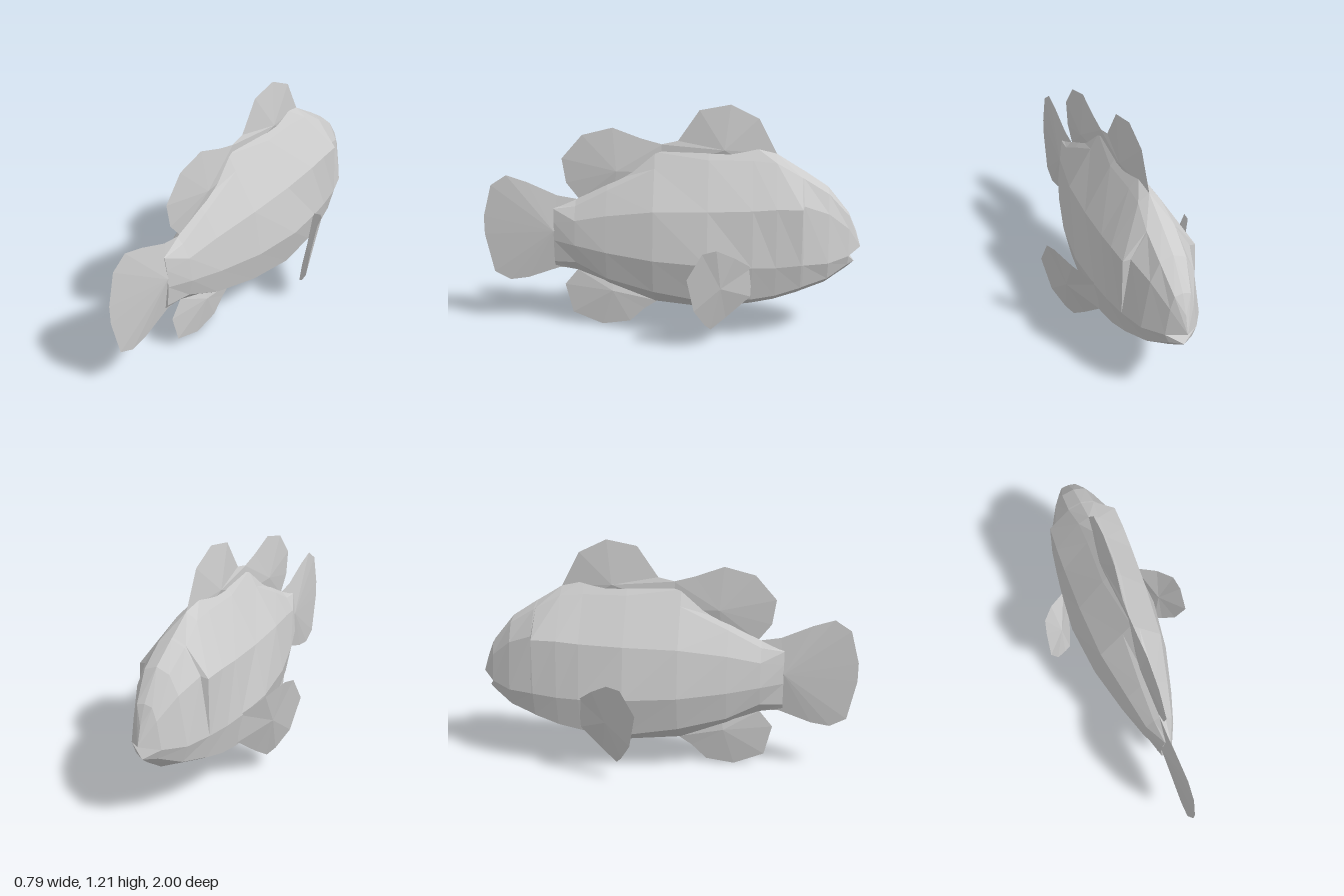
import * as THREE from 'three';
import { ConvexGeometry } from 'three/addons/geometries/ConvexGeometry.js';

const v = (x, y, z) => new THREE.Vector3(x, y, z);

// Unshared triangles give faceted normals
function facets(points) {
  const g = new THREE.BufferGeometry().setFromPoints(points);
  g.computeVertexNormals();
  return g;
}

// Half cross-section, crest to keel: [z, crest y, four side points (x, y), keel y]
const sections = [
  [0.62, 0.66, 0.015, 0.65, 0.025, 0.58, 0.03, 0.48, 0.02, 0.36, 0.33],
  [0.5, 0.70, 0.03, 0.67, 0.07, 0.60, 0.085, 0.47, 0.06, 0.37, 0.31],
  [0.33, 0.80, 0.04, 0.76, 0.11, 0.64, 0.14, 0.45, 0.11, 0.30, 0.235],
  [0.08, 0.96, 0.045, 0.88, 0.165, 0.68, 0.205, 0.43, 0.165, 0.25, 0.14],
  [-0.2, 1.0, 0.05, 0.93, 0.185, 0.69, 0.24, 0.42, 0.19, 0.21, 0.11],
  [-0.43, 1.0, 0.05, 0.93, 0.19, 0.70, 0.225, 0.41, 0.19, 0.23, 0.14],
  [-0.55, 0.96, 0.055, 0.92, 0.19, 0.71, 0.212, 0.41, 0.18, 0.25, 0.165],
  [-0.68, 0.88, 0.07, 0.85, 0.185, 0.71, 0.195, 0.42, 0.165, 0.29, 0.21],
  [-0.69, 0.875, 0.07, 0.845, 0.15, 0.72, 0.192, 0.42, 0.163, 0.295, 0.215],
  [-0.82, 0.79, 0.065, 0.765, 0.11, 0.67, 0.15, 0.42, 0.12, 0.33, 0.27],
  [-0.93, 0.655, 0.04, 0.645, 0.06, 0.58, 0.08, 0.44, 0.06, 0.39, 0.355],
];

function ring([z, crest, ...rest]) {
  const keel = rest.pop();
  const side = [];
  for (let i = 0; i < rest.length; i += 2) side.push(v(rest[i], rest[i + 1], z));
  const mirrored = side.map(p => v(-p.x, p.y, z)).reverse();
  return [v(0, crest, z), ...side, v(0, keel, z), ...mirrored];
}

function loft(rings) {
  const tris = [];
  const n = rings[0].length;
  for (let i = 0; i < rings.length - 1; i++) {
    for (let j = 0; j < n; j++) {
      const k = (j + 1) % n;
      const a = rings[i][j], b = rings[i][k], c = rings[i + 1][k], d = rings[i + 1][j];
      // Mirror the diagonal so both flanks match
      if (j < n / 2) tris.push(a, b, c, a, c, d);
      else tris.push(a, b, d, b, c, d);
    }
  }
  // Close the tail end
  for (let j = 1; j < n - 1; j++) tris.push(rings[0][0], rings[0][j + 1], rings[0][j]);
  return facets(tris);
}

// Lens-shaped fin: an outline joined to a raised centre on each face
function fin(outline, centre, bulge) {
  const hi = centre.clone().add(bulge), lo = centre.clone().sub(bulge);
  const tris = [];
  outline.forEach((p, i) => {
    const q = outline[(i + 1) % outline.length];
    tris.push(hi, p, q, lo, q, p);
  });
  return facets(tris);
}

// Fins on the centre plane: outline and centre as (z, y)
const medianFins = {
  frontDorsalFin: {
    outline: [[-0.55, 0.96], [-0.455, 1.14], [-0.31, 1.21], [-0.15, 1.18], [-0.04, 1.02],
      [0.05, 1.0], [0.08, 0.85], [-0.5, 0.85]],
    centre: [-0.28, 0.98], thick: 0.035,
  },
  rearDorsalFin: {
    outline: [[0.04, 1.0], [0.15, 1.03], [0.3, 1.085], [0.46, 1.045], [0.57, 0.92],
      [0.55, 0.79], [0.48, 0.70], [0.3, 0.68], [0.0, 0.85]],
    centre: [0.28, 0.86], thick: 0.025,
  },
  tailFin: {
    outline: [[0.48, 0.70], [0.6, 0.72], [0.76, 0.79], [0.87, 0.825], [0.955, 0.77], [1, 0.6],
      [1, 0.5], [0.955, 0.29], [0.87, 0.245], [0.77, 0.26], [0.6, 0.32], [0.5, 0.32]],
    centre: [0.62, 0.53], thick: 0.03,
  },
  analFin: {
    outline: [[0.07, 0.14], [0.14, 0.095], [0.22, 0.02], [0.37, 0.0], [0.53, 0.065],
      [0.57, 0.225], [0.5, 0.31], [0.3, 0.3]],
    centre: [0.31, 0.2], thick: 0.025,
  },
};

export function createModel() {
  const model = new THREE.Group();
  model.name = 'fish';
  const skin = new THREE.MeshStandardMaterial({ color: 0xcccccc, side: THREE.DoubleSide });
  skin.name = 'paleGrey';
  const add = (name, geometry) => {
    const mesh = new THREE.Mesh(geometry, skin);
    mesh.name = name;
    model.add(mesh);
  };

  // Body, with a step in front of the gills
  const rings = sections.map(ring);
  add('body', loft(rings));

  // Upper snout and lower jaw, with the open mouth between them
  const face = rings[rings.length - 1];
  add('snout', new ConvexGeometry([...face.filter(p => p.y >= 0.44), v(0, 0.56, -0.972), v(0, 0.47, -1)]));
  add('lowerJaw', new ConvexGeometry([...face.filter(p => p.y <= 0.44), v(0, 0.39, -0.97)]));

  // Dorsal, tail and anal fins
  for (const [name, { outline, centre, thick }] of Object.entries(medianFins)) {
    add(name, fin(outline.map(([z, y]) => v(0, y, z)), v(0, centre[1], centre[0]), v(thick, 0, 0)));
  }

  // Side fins, swept outward and back
  const sideOutline = [
    [0.215, 0.41, -0.43], [0.31, 0.49, -0.34], [0.37, 0.545, -0.25], [0.385, 0.53, -0.18],
    [0.395, 0.4, -0.105], [0.355, 0.22, -0.14], [0.3, 0.125, -0.195], [0.265, 0.09, -0.225],
    [0.235, 0.145, -0.3], [0.2, 0.25, -0.425],
  ];
  for (const [name, s] of [['leftSideFin', 1], ['rightSideFin', -1]]) {
    const outline = sideOutline.map(([x, y, z]) => v(s * x, y, z));
    if (s < 0) outline.reverse();
    add(name, fin(outline, v(s * 0.305, 0.33, -0.26), v(s * 0.015, 0, -0.012)));
  }
  return model;
}
